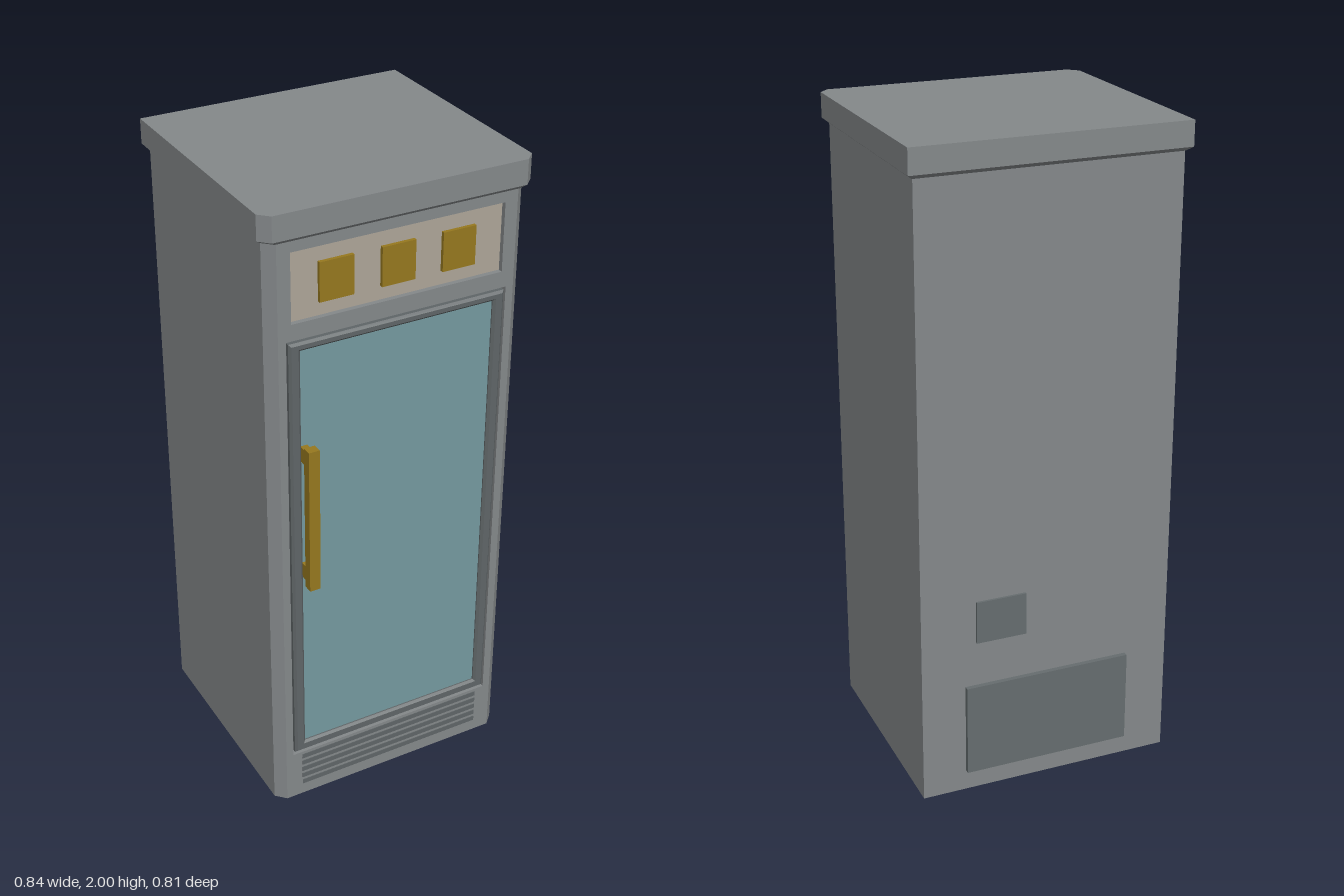
import * as THREE from 'three';

const mat = (color) => new THREE.MeshStandardMaterial({ color, flatShading: true });
const steel = mat(0x84888a), dark = mat(0x5f6567), panelGrey = mat(0x666d6f);
const brass = mat(0x96781f), cream = mat(0xada598), glassBlue = mat(0x74999f);

function add(group, name, geometry, material) {
  const mesh = new THREE.Mesh(geometry, material);
  mesh.name = name;
  group.add(mesh);
  return mesh;
}

// Box given by its limits on each axis
function box(x0, x1, y0, y1, z0, z1) {
  return new THREE.BoxGeometry(x1 - x0, y1 - y0, z1 - z0)
    .translate((x0 + x1) / 2, (y0 + y1) / 2, (z0 + z1) / 2);
}

const rect = (x0, x1, y0, y1, Type = THREE.Shape) => new Type([
  [x0, y0], [x1, y0], [x1, y1], [x0, y1],
].map(([x, y]) => new THREE.Vector2(x, y)));

// Upright prism from a plan outline of [x, z] points
function prism(points, y0, height) {
  const shape = new THREE.Shape(points.map(([x, z]) => new THREE.Vector2(x, -z)));
  return new THREE.ExtrudeGeometry(shape, { depth: height, bevelEnabled: false })
    .rotateX(-Math.PI / 2).translate(0, y0, 0);
}

// Plan outline with chamfered front corners
const plan = (w, back, front, c = 0.03) => [
  [-w, back], [w, back], [w, front - c], [w - c, front], [c - w, front], [-w, front - c],
];

export function createModel() {
  const model = new THREE.Group();
  model.name = 'displayFridge';

  // Cabinet shell: back and side walls with chamfered front edges
  const half = [[0.348, -0.36], [0.348, 0.32], [0.37, 0.32], [0.37, 0.35], [0.4, 0.32], [0.4, -0.39]];
  const mirrored = half.map(([x, z]) => [-x, z]).reverse();
  add(model, 'cabinetWalls', prism([...half, ...mirrored], 0, 1.92), steel);
  add(model, 'cabinetBase', box(-0.348, 0.348, 0, 0.16, -0.36, 0.32), steel);
  add(model, 'cabinetCeiling', box(-0.348, 0.348, 1.63, 1.92, -0.36, 0.32), steel);

  // Front panel with openings for the sign, door and vents
  const front = rect(-0.37, 0.37, 0, 1.92);
  front.holes.push(rect(-0.33, 0.33, 1.67, 1.88, THREE.Path));
  front.holes.push(rect(-0.346, 0.346, 0.17, 1.62, THREE.Path));
  add(model, 'frontPanel', new THREE.ExtrudeGeometry(front, { depth: 0.03, bevelEnabled: false })
    .translate(0, 0, 0.32), steel);

  // Vent grooves, drawn as dark slats with a lighter lip
  for (let i = 0; i < 5; i++) {
    const y = 0.048 + i * 0.026;
    add(model, 'ventSlat', box(-0.315, 0.315, y - 0.008, y + 0.008, 0.34, 0.352), dark);
  }

  // Top cap flaring out from the cabinet
  const outline = plan(0.418, -0.407, 0.365);
  add(model, 'topCap', prism(outline, 1.925, 0.075), steel);
  const flare = prism(outline, 1.912, 0.013);
  const p = flare.attributes.position;
  for (let i = 0; i < p.count; i++) {
    if (p.getY(i) < 1.92) {
      p.setX(i, p.getX(i) * 0.402 / 0.418);
      p.setZ(i, p.getZ(i) * 0.96);
    }
  }
  flare.computeVertexNormals();
  add(model, 'capFlare', flare, steel);

  // Recessed sign with three raised tiles
  add(model, 'signPanel', box(-0.33, 0.33, 1.67, 1.88, 0.315, 0.335), cream);
  for (const x of [-0.19, 0, 0.19]) {
    add(model, 'signTile', box(x - 0.052, x + 0.052, 1.712, 1.83, 0.33, 0.346), brass);
  }

  // Door with bevelled frame and glass
  const door = new THREE.Group();
  door.name = 'door';
  model.add(door);
  const frame = rect(-0.34, 0.34, 0.18, 1.612);
  frame.holes.push(rect(-0.305, 0.305, 0.215, 1.585, THREE.Path));
  add(door, 'doorFrame', new THREE.ExtrudeGeometry(frame, {
    depth: 0.02, bevelThickness: 0.007, bevelSize: 0.007, bevelOffset: -0.007, bevelSegments: 1,
  }).translate(0, 0, 0.329), dark);
  add(door, 'doorGlass', box(-0.309, 0.309, 0.21, 1.59, 0.335, 0.345), glassBlue);

  // Handle bar on two mounts
  add(door, 'handleBar', box(-0.311, -0.277, 0.825, 1.295, 0.378, 0.407), brass);
  for (const y of [0.863, 1.258]) {
    add(door, 'handleMount', box(-0.305, -0.283, y - 0.024, y + 0.024, 0.345, 0.38), brass);
  }

  // Shelves behind the door
  for (const y of [0.55, 0.85, 1.23]) {
    add(model, 'shelf', box(-0.347, 0.347, y - 0.015, y + 0.015, -0.35, 0.3), dark);
  }

  // Service plates on the back
  add(model, 'compressorCover', box(-0.263, 0.263, 0.065, 0.357, -0.405, -0.38), panelGrey);
  add(model, 'powerPlate', box(0.07, 0.228, 0.5, 0.635, -0.397, -0.38), panelGrey);

  return model;
}
